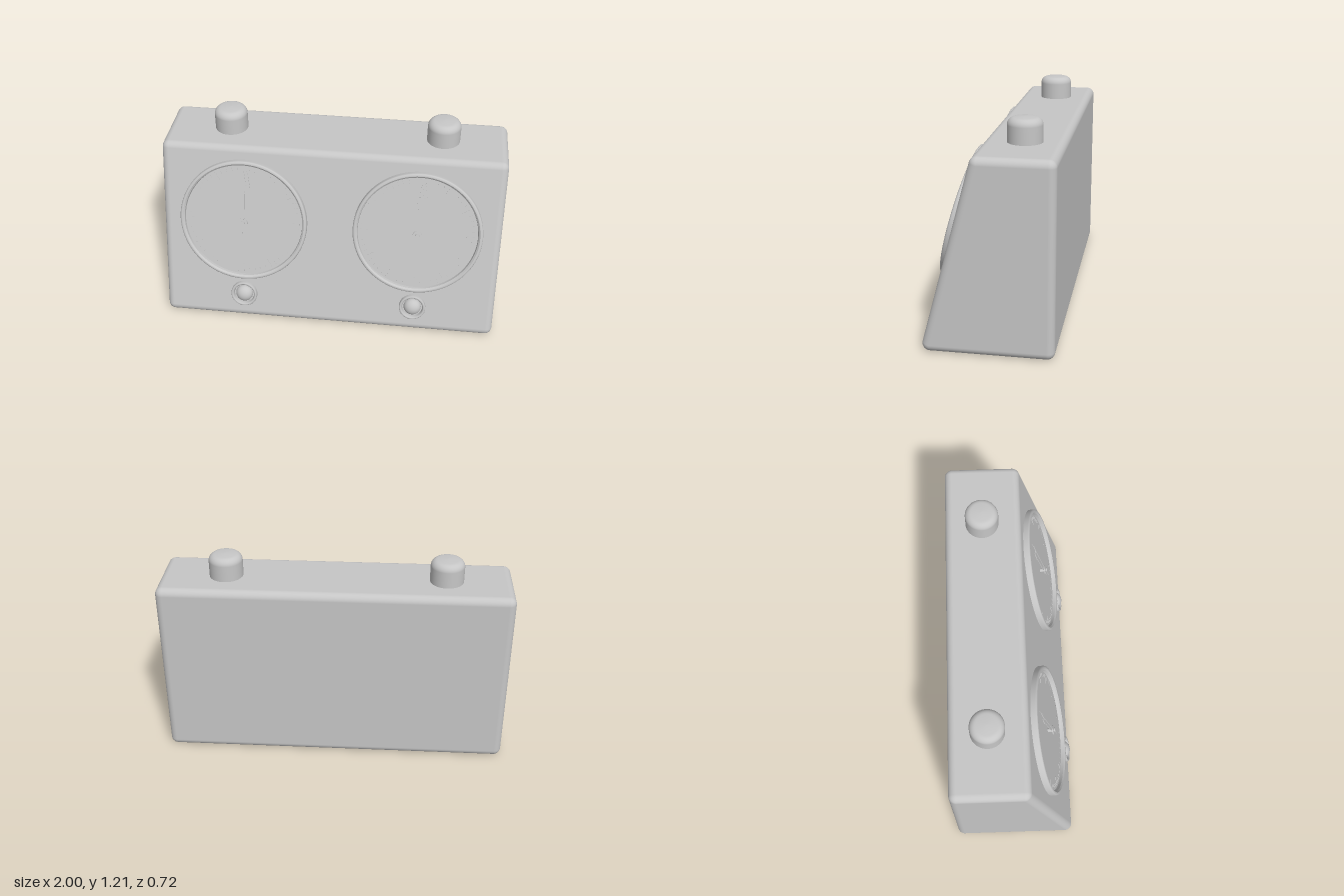
import * as THREE from 'three';

const grey = new THREE.MeshStandardMaterial({ color: 0xc6c6c6 });
grey.name = 'plain grey';

const TILT = Math.PI / 12; // lean of the front panel
const frontZ = (y) => 0.365 - Math.tan(TILT) * y;

function add(parent, name, geometry, x = 0, y = 0, z = 0) {
  const mesh = new THREE.Mesh(geometry, grey);
  mesh.name = name;
  mesh.position.set(x, y, z);
  parent.add(mesh);
  return mesh;
}

// Repeated points in a profile keep that edge sharp.
function lathe(points, segments = 64) {
  return new THREE.LatheGeometry(points.map(([r, h]) => new THREE.Vector2(r, h)), segments);
}

// Thin outline plate standing on local z = 0
function plate(points, depth) {
  const shape = new THREE.Shape(points.map(([x, y]) => new THREE.Vector2(x, y)));
  return new THREE.ExtrudeGeometry(shape, { depth, bevelEnabled: false });
}

// Wedge with all edges rounded: one rounded outline repeated along x
function wedgeGeometry() {
  const r = 0.042, n = 8, top = 1.075, back = -0.357;
  const inner = (y) => frontZ(y) - r / Math.cos(TILT);
  const H = Math.PI / 2;
  const corners = [ // core z, core y, start angle, end angle
    [inner(top - r), top - r, TILT, H],
    [back + r, top - r, H, 2 * H],
    [back + r, r, 2 * H, 3 * H],
    [inner(r), r, 3 * H, 4 * H + TILT],
  ];
  const pos = [], nor = [], idx = [];
  const loop = corners.length * (n + 1), rings = 2 * (n + 1);
  for (let i = 0; i < rings; i++) {
    const side = i <= n ? -1 : 1;
    const phi = i <= n ? -H + (H * i) / n : (H * (i - n - 1)) / n;
    for (const [cz, cy, a0, a1] of corners) {
      for (let k = 0; k <= n; k++) {
        const a = a0 + ((a1 - a0) * k) / n;
        const nx = Math.sin(phi), ny = Math.cos(phi) * Math.sin(a), nz = Math.cos(phi) * Math.cos(a);
        pos.push(side * (1 - r) + r * nx, cy + r * ny, cz + r * nz);
        nor.push(nx, ny, nz);
      }
    }
  }
  for (let i = 0; i < rings - 1; i++) {
    for (let j = 0; j < loop; j++) {
      const k = (j + 1) % loop;
      const a = i * loop + j, b = a + loop, c = (i + 1) * loop + k, d = i * loop + k;
      idx.push(a, b, c, a, c, d);
    }
  }
  // End faces
  const last = (rings - 1) * loop;
  for (let j = 1; j < loop - 1; j++) idx.push(0, j, j + 1, last, last + j + 1, last + j);
  const g = new THREE.BufferGeometry();
  g.setAttribute('position', new THREE.Float32BufferAttribute(pos, 3));
  g.setAttribute('normal', new THREE.Float32BufferAttribute(nor, 3));
  g.setIndex(idx);
  return g;
}

// Dial with rim, ticks, hands and flag, built facing +z
function makeDial() {
  const dial = new THREE.Group();
  dial.name = 'dial';
  add(dial, 'dialRim', lathe([
    [0.378, -0.005], [0.378, 0.026], [0.375, 0.033], [0.368, 0.037],
    [0.361, 0.036], [0.361, 0.036], [0.352, 0.028], [0.352, 0.028], [0.348, 0.005],
  ], 96).rotateX(Math.PI / 2));
  add(dial, 'dialFace', new THREE.CircleGeometry(0.352, 96), 0, 0, 0.012);

  for (let i = 0; i < 60; i++) {
    const length = i % 5 ? 0.02 : 0.05;
    const tick = new THREE.BoxGeometry(i % 5 ? 0.003 : 0.007, length, 0.003);
    tick.translate(0, 0.335 - length / 2, 0.013);
    tick.rotateZ((i * Math.PI) / 30);
    add(dial, 'tick', tick);
  }

  add(dial, 'hub', new THREE.CylinderGeometry(0.012, 0.012, 0.045, 24).rotateX(Math.PI / 2), 0, 0, 0.034);
  add(dial, 'hubDisc', new THREE.CylinderGeometry(0.028, 0.028, 0.006, 32).rotateX(Math.PI / 2), 0, 0, 0.044);
  const hand = (length, w) => plate([
    [-0.003, -0.07], [0.003, -0.07], [0.005, 0], [w, 0.04], [w * 0.7, length * 0.75],
    [w * 1.4, length * 0.78], [0, length], [-w * 1.4, length * 0.78], [-w * 0.7, length * 0.75],
    [-w, 0.04], [-0.005, 0],
  ], 0.004);
  add(dial, 'hourHand', hand(0.24, 0.01), 0, 0, 0.034);
  add(dial, 'minuteHand', hand(0.325, 0.009), 0, 0, 0.047).rotation.z = -0.03;
  add(dial, 'flag', plate([
    [0.024, 0.325], [0.032, 0.3], [0.043, 0.222], [0.012, 0.222], [0.014, 0.235], [0.03, 0.235],
  ], 0.005), 0, 0, 0.036);
  return dial;
}

// Small round indicator below the dial, facing +z
function makeIndicator() {
  const indicator = new THREE.Group();
  indicator.name = 'indicator';
  add(indicator, 'indicatorRing', lathe([
    [0.079, -0.005], [0.079, 0.02], [0.075, 0.026], [0.067, 0.026], [0.062, 0.02], [0.06, 0.002],
  ]).rotateX(Math.PI / 2));
  const dome = new THREE.SphereGeometry(0.052, 40, 16, 0, Math.PI * 2, 0, Math.PI / 2);
  add(indicator, 'indicatorDome', dome.scale(1, 0.8, 1).rotateX(Math.PI / 2));
  return indicator;
}

// Rounded push button
function buttonGeometry() {
  const r = 0.096, round = 0.04, h = 0.133;
  const points = [[r, -0.02], [r, h - round]];
  for (let i = 1; i <= 8; i++) {
    const a = (i * Math.PI) / 16;
    points.push([r - round + round * Math.cos(a), h - round + round * Math.sin(a)]);
  }
  points.push([0.03, h + 0.003], [0, h + 0.004]);
  return lathe(points, 48);
}

export function createModel() {
  const model = new THREE.Group();
  model.name = 'chessClock';
  add(model, 'body', wedgeGeometry());

  for (const side of [-1, 1]) {
    const parts = [[makeDial(), 0.64], [makeIndicator(), 0.17]];
    for (const [part, y] of parts) {
      part.position.set(side * 0.513, y, frontZ(y));
      part.rotation.x = -TILT;
      model.add(part);
    }
    add(model, 'pushButton', buttonGeometry(), side * 0.624, 1.075, -0.142);
  }
  return model;
}
